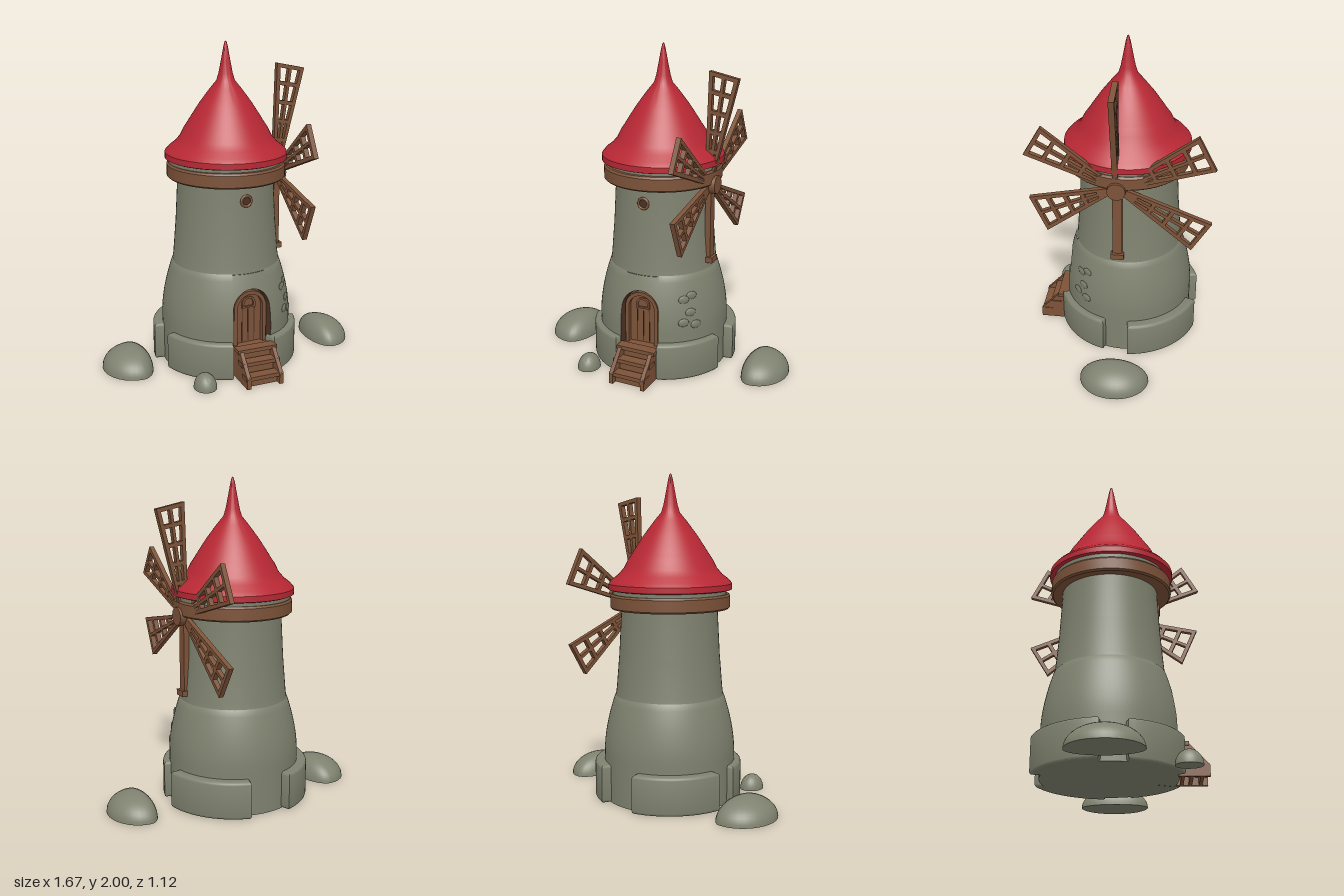
import * as THREE from 'three';
import { toCreasedNormals } from 'three/addons/utils/BufferGeometryUtils.js';
import { ParametricGeometry } from 'three/addons/geometries/ParametricGeometry.js';

const mat = (name, color) => {
  const m = new THREE.MeshStandardMaterial({ color });
  m.name = name;
  return m;
};
const V2 = (p) => new THREE.Vector2(p[0], p[1]);

export function createModel() {
  const stone = mat('stone', 0x7f826f);
  const red = mat('roof red', 0xb82834);
  const wood = mat('wood', 0x7d5339);
  const dark = mat('dark wood', 0x4a3122);
  const model = new THREE.Group();
  model.name = 'windmill';

  const add = (parent, name, geo, material, x = 0, y = 0, z = 0) => {
    const m = new THREE.Mesh(geo, material);
    m.name = name;
    m.position.set(x, y, z);
    parent.add(m);
    return m;
  };
  const box = (parent, name, w, h, d, material, x, y, z) =>
    add(parent, name, new THREE.BoxGeometry(w, h, d), material, x, y, z);
  const lathe = (pts, start = 0, len = Math.PI * 2) =>
    toCreasedNormals(new THREE.LatheGeometry(pts.map(V2), 64, start, len), 0.6);
  const group = (name, parent, x = 0, y = 0, z = 0) => {
    const g = new THREE.Group();
    g.name = name;
    g.position.set(x, y, z);
    parent.add(g);
    return g;
  };

  const tower = group('tower', model, -0.022, 0, -0.008);

  // Lower wall, left open at the front for the arched doorway
  const lower = group('lowerTower', tower);
  lower.rotation.y = 0.055;
  const gap = 0.315, top = 0.64;
  const wallR = (y) => 0.407 - 0.067 * Math.pow(Math.max(0, y - 0.3) / 0.34, 1.7);
  const profile = [[0, 0], [wallR(0), 0]];
  for (let i = 0; i <= 10; i++) profile.push([wallR(0.28 + i * 0.036), 0.28 + i * 0.036]);
  profile.push([0.325, 0.655]);
  add(lower, 'lowerWall', lathe(profile, gap, Math.PI * 2 - gap * 2), stone);
  const archY = (s) => 0.43 + 0.12 * Math.sqrt(Math.max(0, 1 - s * s));
  add(lower, 'wallOverDoor', new ParametricGeometry((u, v, p) => {
    const s = Math.sin((u - 0.5) * Math.PI);
    const y = THREE.MathUtils.lerp(archY(s), top, v), r = wallR(y);
    p.set(r * Math.sin(s * gap), y, r * Math.cos(s * gap));
  }, 24, 8), stone);

  // Doorway lining, from the wall face inward
  add(lower, 'doorLining', new ParametricGeometry((u, v, p) => {
    const t = 1 - u;
    let s, y;
    if (t < 0.25) { s = -1; y = t / 0.25 * 0.43; }
    else if (t > 0.75) { s = 1; y = (1 - t) / 0.25 * 0.43; }
    else { s = Math.sin((t - 0.5) * 2 * Math.PI); y = archY(s); }
    if (t >= 0.25 && t <= 0.75) { s = Math.sin((t - 0.5) * 2 * Math.PI); y = archY(s); }
    const r = THREE.MathUtils.lerp(wallR(y), 0.3, v);
    p.set(r * Math.sin(s * gap), y, r * Math.cos(s * gap));
  }, 48, 1), dark);

  // Arched door with planks, frame and little window
  const arch = (w, bottom, spring) => {
    const s = new THREE.Shape();
    s.moveTo(-w, bottom);
    s.lineTo(w, bottom);
    s.lineTo(w, spring);
    s.absarc(0, spring, w, 0, Math.PI, false);
    s.lineTo(-w, bottom);
    return s;
  };
  const slab = (shape, depth) => new THREE.ExtrudeGeometry(shape, { depth, bevelEnabled: false, curveSegments: 16 });
  add(lower, 'door', slab(arch(0.118, 0.15, 0.43), 0.03), wood, 0, 0, 0.295);
  const frame = arch(0.108, 0.17, 0.425);
  frame.holes.push(arch(0.085, 0.18, 0.425));
  add(lower, 'doorFrame', slab(frame, 0.03), wood, 0, 0, 0.325);
  for (const x of [-0.04, 0, 0.04])
    box(lower, 'plankGroove', 0.005, 0.21, 0.006, dark, x, 0.305, 0.325);
  const rim = arch(0.045, 0.42, 0.445);
  rim.holes.push(arch(0.032, 0.43, 0.445));
  add(lower, 'doorWindowRim', slab(rim, 0.012), wood, 0, 0, 0.325);
  box(lower, 'threshold', 0.225, 0.19, 0.1, wood, 0, 0.097, 0.345);
  add(lower, 'floorDisc', new THREE.CircleGeometry(0.4, 48).rotateX(Math.PI / 2), stone, 0, 0.001, 0);

  // Worn stones standing slightly out of the lower wall
  for (const [a, y] of [[0.72, 0.5], [0.82, 0.42], [0.7, 0.36], [0.9, 0.34], [0.86, 0.52]]) {
    const r = wallR(y);
    const s = add(lower, 'wornStone', new THREE.SphereGeometry(0.035, 12, 8), stone,
      r * Math.sin(a), y, r * Math.cos(a));
    s.scale.set(1, 0.75, 0.25);
    s.rotation.y = a;
  }

  // Upper wall
  add(tower, 'upperWall', lathe([[0.325, 0.62], [0.336, 0.64], [0.33, 0.68], [0.312, 0.9],
    [0.298, 1.16], [0.298, 1.24], [0.35, 1.255], [0.35, 1.31], [0, 1.31]]), stone);

  // Four curved foundation blocks
  const h = Math.PI / 2;
  const block = (a0, a1, r) => {
    const b = 0.018, s = new THREE.Shape();
    const e = b / r;
    s.absarc(0, 0, r - b, a0 + e, a1 - e, false);
    s.absarc(0, 0, 0.39, a1 - e, a0 + e, true);
    s.closePath();
    const g = new THREE.ExtrudeGeometry(s, { depth: 0.235 - 2 * b, bevelSize: b, bevelThickness: b, bevelSegments: 3, curveSegments: 20 });
    g.translate(0, 0, b).rotateX(-h);
    add(tower, 'foundationBlock', toCreasedNormals(g, 0.7), stone);
  };
  block(0.09, h - 0.29, 0.467);
  block(h + 0.29, Math.PI - 0.09, 0.467);
  block(-h + 0.35, -0.26, 0.448);
  block(Math.PI + 0.26, Math.PI + h - 0.27, 0.448);

  // Round window above the door
  add(tower, 'windowRing', new THREE.TorusGeometry(0.032, 0.008, 8, 24), wood, 0.012, 1.085, 0.304);
  add(tower, 'windowPane', new THREE.CylinderGeometry(0.03, 0.03, 0.012, 24).rotateX(h), dark, 0.012, 1.085, 0.3);

  // Wooden band and roof, both a little wider front to back
  const cap = group('cap', tower, 0, 0, 0.008);
  cap.scale.set(0.965, 1, 1);
  add(cap, 'woodBand', lathe([[0.29, 1.185], [0.365, 1.18], [0.376, 1.19], [0.376, 1.26],
    [0.366, 1.272], [0.33, 1.272]]), wood);
  add(cap, 'roof', lathe([[0.3, 1.31], [0.375, 1.295], [0.388, 1.3], [0.387, 1.335], [0.365, 1.36],
    [0.325, 1.39], [0.29, 1.43], [0.265, 1.48], [0.24, 1.515], [0.228, 1.535], [0.165, 1.63],
    [0.1, 1.715], [0.058, 1.765], [0.044, 1.81], [0.03, 1.88], [0.014, 1.965], [0.006, 1.995], [0, 2]]), red);

  // Sails: four-cornered lattice frames (inner a, inner b, outer b, outer a)
  const lattice = (q, rows, bar, depth) => {
    const [a, b, c, d] = q.map(V2);
    const at = (u, v) => a.clone().lerp(b, u).lerp(d.clone().lerp(c, u), v);
    const shape = new THREE.Shape([a, b, c, d]);
    const len = at(0.5, 0).distanceTo(at(0.5, 1));
    for (let i = 0; i < rows; i++) for (let j = 0; j < 2; j++) {
      const v0 = (i + 0.6) / (rows + 0.6) + bar / len / 2;
      const v1 = (i + 1.6) / (rows + 0.6) - bar / len * (i === rows - 1 ? 1 : 0.5);
      const corner = (edge, v) => {
        const m = bar / at(0, v).distanceTo(at(1, v));
        const outer = Math.min(m, 0.23), mid = Math.min(m * 0.4, 0.12);
        return at(j ? (edge ? 1 - outer : 0.5 + mid) : (edge ? 0.5 - mid : outer), v);
      };
      shape.holes.push(new THREE.Path([corner(0, v0), corner(1, v0), corner(1, v1), corner(0, v1)]));
    }
    return new THREE.ExtrudeGeometry(shape, { depth, bevelEnabled: false });
  };
  const sails = group('sails', model, 0.302, 1.178, 0.026);
  for (const [deg, len, tip] of [[150, 0.57, 0.21], [27, 0.585, 0.235], [204, 0.52, 0.25], [-31, 0.59, 0.225]]) {
    const turn = group('sail', sails);
    turn.rotation.set(0, h, 0);
    const g = lattice([[0.05, 0.022], [0.05, -0.022], [len, -tip / 2], [len, tip / 2]], 4, 0.024, 0.03);
    g.translate(0, 0, -0.015).rotateZ(deg * Math.PI / 180);
    add(turn, 'sailLattice', g, wood);
  }
  // The upright sail is turned edge-on, the lower one is a plain pole
  add(sails, 'topSail', lattice([[-0.025, 0.02], [0.02, 0.02], [0.178, 0.645], [-0.005, 0.682]], 5, 0.024, 0.034),
    wood, 0, 0, -0.01);
  box(sails, 'lowerPole', 0.036, 0.48, 0.058, wood, 0.002, -0.24, -0.002);
  box(sails, 'lowerPoleEnd', 0.055, 0.035, 0.08, wood, 0.01, -0.478, -0.002);
  add(sails, 'hub', toCreasedNormals(new THREE.CylinderGeometry(0.055, 0.06, 0.07, 20).rotateZ(-h), 0.6), wood, 0.018, 0, 0);
  add(sails, 'axle', new THREE.CylinderGeometry(0.035, 0.035, 0.12, 16).rotateZ(h), wood, -0.04, 0, 0);

  // Entrance steps
  const steps = group('steps', model, 0.005, 0, 0);
  [[0.19, 0.415], [0.125, 0.465], [0.06, 0.525]].forEach(([y, z], i) => {
    box(steps, 'tread', 0.255 - i * 0.006, 0.024, 0.068, wood, 0, y, z);
    box(steps, 'riser', 0.22, y - 0.01, 0.02, wood, 0, y / 2 - 0.005, z - 0.005);
  });
  const side = new THREE.Shape([[0.38, 0], [0.565, 0], [0.565, 0.065], [0.45, 0.19], [0.38, 0.19]].map(V2));
  for (const x of [-0.118, 0.093])
    add(steps, 'stringer', slab(side, 0.025).rotateY(-h), wood, x + 0.025, 0, 0);

  // Boulders: domes with a flatter side toward the tower
  const boulder = (x, z, minus, plus, rz, height) => {
    const g = new THREE.SphereGeometry(1, 32, 24);
    const p = g.attributes.position;
    for (let i = 0; i < p.count; i++) {
      const px = p.getX(i);
      p.setXYZ(i, px * (px < 0 ? minus : plus), Math.max(0, p.getY(i)) * height, p.getZ(i) * rz);
    }
    add(model, 'boulder', toCreasedNormals(g, 0.7), stone, x, 0, z);
  };
  boulder(-0.645, -0.013, 0.192, 0.113, 0.215, 0.133);
  boulder(0.655, 0.003, 0.1, 0.177, 0.213, 0.133);
  boulder(-0.33, 0.435, 0.07, 0.068, 0.08, 0.092);
  return model;
}
